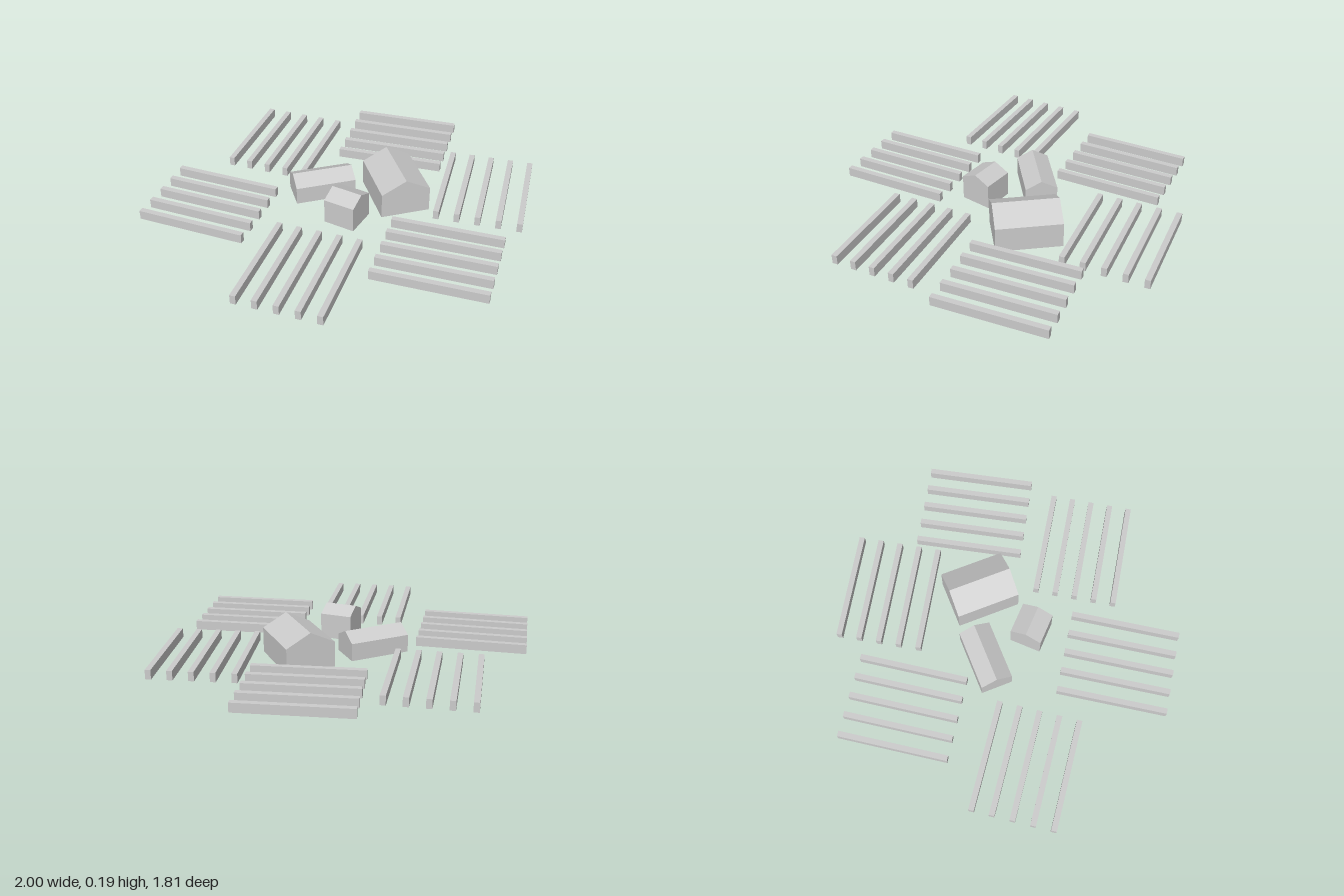
import * as THREE from 'three';

const material = new THREE.MeshStandardMaterial({ color: 0xcccccc, flatShading: true });

// Five parallel crop rows, spread from the first row's centre to the last one's.
function field(name, first, last, degrees) {
  const group = new THREE.Group();
  group.name = name;
  const geometry = new THREE.BoxGeometry(0.54, 0.046, 0.027);
  for (let i = 0; i < 5; i++) {
    const t = i / 4;
    const row = new THREE.Mesh(geometry, material);
    row.name = 'cropRow';
    row.position.set(
      THREE.MathUtils.lerp(first[0], last[0], t),
      0.045,
      THREE.MathUtils.lerp(first[1], last[1], t)
    );
    row.rotation.y = THREE.MathUtils.degToRad(degrees);
    group.add(row);
  }
  return group;
}

// Gabled block whose ridge runs along its own z axis.
function building(name, { x, z, width, length, base, eaves, ridge, degrees = 0 }) {
  const w = width / 2;
  const gable = new THREE.Shape([
    new THREE.Vector2(-w, base),
    new THREE.Vector2(w, base),
    new THREE.Vector2(w, eaves),
    new THREE.Vector2(0, ridge),
    new THREE.Vector2(-w, eaves),
  ]);
  const geometry = new THREE.ExtrudeGeometry(gable, { depth: length, bevelEnabled: false });
  geometry.translate(0, 0, -length / 2);
  const mesh = new THREE.Mesh(geometry, material);
  mesh.name = name;
  mesh.position.set(x, 0, z);
  mesh.rotation.y = THREE.MathUtils.degToRad(degrees);
  return mesh;
}

export function createModel() {
  const model = new THREE.Group();
  model.name = 'farm';

  // Ring of six fields
  model.add(
    field('backRightField', [-0.34, -0.68], [-0.013, -0.455], 55.4),
    field('backLeftField', [0.52, -0.6], [0.31, -0.26], -31),
    field('leftField', [0.508, 0.037], [0.853, 0.24], 59.9),
    field('frontLeftField', [0.38, 0.41], [0.166, 0.74], -32.8),
    field('frontRightField', [-0.519, 0.382], [-0.19, 0.604], 56.1),
    field('rightField', [-0.543, -0.283], [-0.773, 0.037], -36.2)
  );

  // Farmyard buildings
  model.add(
    building('barn', { x: 0.257, z: 0, width: 0.245, length: 0.32, base: 0, eaves: 0.127, ridge: 0.19 }),
    building('longShed', { x: -0.093, z: -0.107, width: 0.157, length: 0.3, base: 0.023, eaves: 0.11, ridge: 0.15, degrees: 90 }),
    building('smallHouse', { x: -0.04, z: 0.157, width: 0.157, length: 0.157, base: 0.03, eaves: 0.155, ridge: 0.19, degrees: 45 })
  );

  return model;
}
